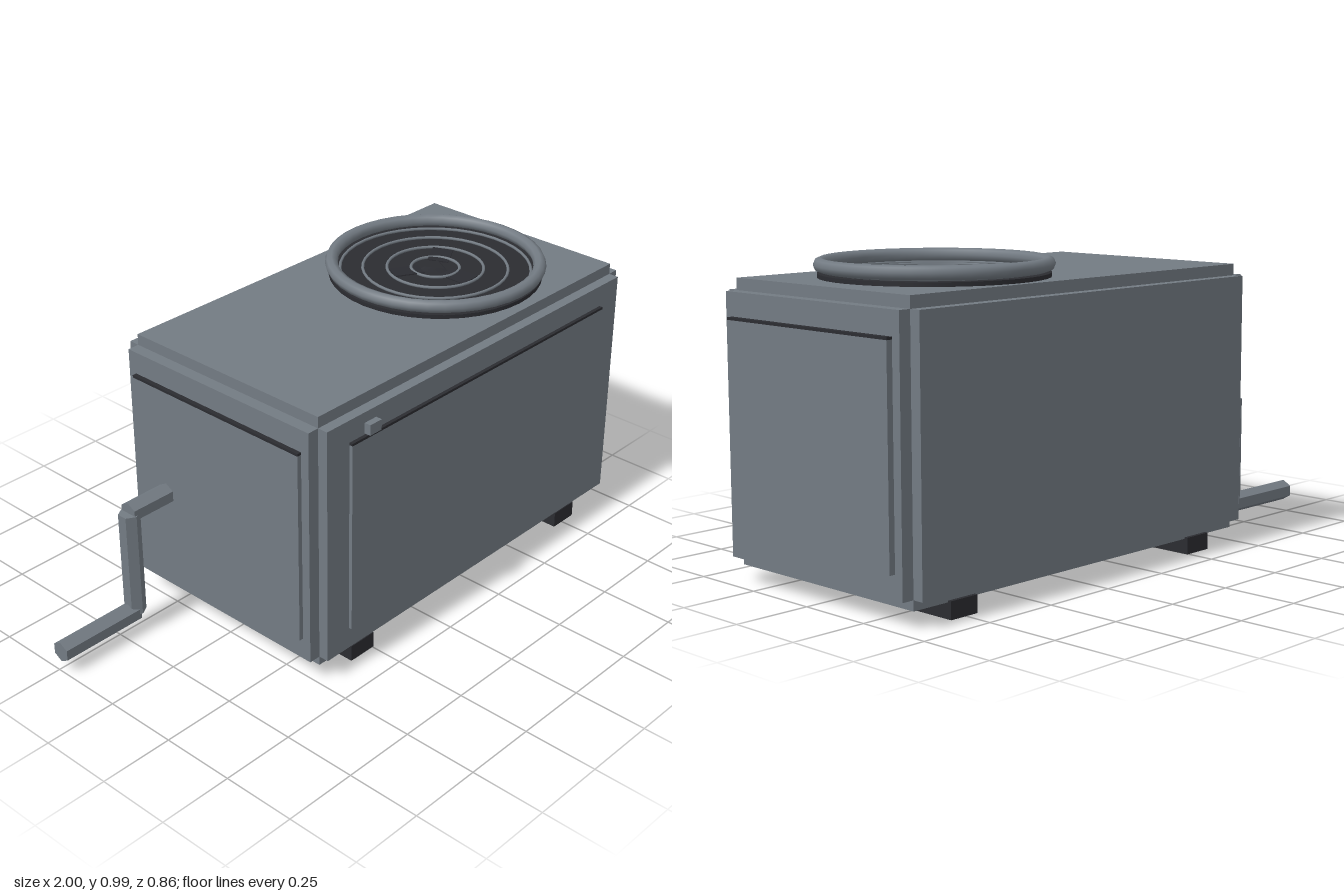
import * as THREE from 'three';

export function createModel() {
  const model = new THREE.Group();
  model.name = 'outdoorCoolingUnit';

  const casing = new THREE.MeshStandardMaterial({ color: 0x737b83 });
  casing.name = 'greyCasing';
  const dark = new THREE.MeshStandardMaterial({ color: 0x2b2c31 });
  dark.name = 'darkTrim';

  function add(name, geometry, material, parent = model) {
    const mesh = new THREE.Mesh(geometry, material);
    mesh.name = name;
    parent.add(mesh);
    return mesh;
  }

  // Box given by its lowest and highest coordinates
  function box(name, x0, x1, y0, y1, z0, z1, material) {
    const mesh = add(name, new THREE.BoxGeometry(x1 - x0, y1 - y0, z1 - z0), material);
    mesh.position.set((x0 + x1) / 2, (y0 + y1) / 2, (z0 + z1) / 2);
    return mesh;
  }

  // Casing: overlapping boxes leave the stepped edges
  box('casingCore', -0.48, 0.94, 0.05, 0.927, -0.393, 0.373, casing);
  box('casingEnds', -0.52, 0.98, 0.082, 0.89, -0.393, 0.373, casing);
  box('casingFrontBack', -0.48, 0.94, 0.082, 0.89, -0.43, 0.408, casing);

  // Raised panels, each with a dark strip along its top
  const panels = [
    ['frontPanel', -0.385, 0.845, 0.4, 0.42],
    ['leftPanel', 0.97, 1, -0.363, 0.343],
    ['rightPanel', -0.535, -0.51, -0.363, 0.343],
  ];
  for (const [name, x0, x1, z0, z1] of panels) {
    box(name, x0, x1, 0.157, 0.808, z0, z1, casing);
    box(name + 'Strip', x0, x1, 0.808, 0.816, z0, z1, dark);
  }
  box('latch', -0.32, -0.27, 0.82, 0.855, 0.4, 0.43, casing);

  // Feet rails
  for (const x of [-0.297, 0.757]) {
    box('footRail', x - 0.052, x + 0.052, 0, 0.055, -0.405, 0.387, dark);
  }

  // Six-sided drain pipe in three straight runs
  const pipe = new THREE.Group();
  pipe.name = 'pipe';
  pipe.position.z = -0.235;
  model.add(pipe);
  function pipeRun(name, length, x, y, horizontal) {
    let geometry = new THREE.CylinderGeometry(0.035, 0.035, length, 6);
    if (horizontal) geometry.rotateY(Math.PI / 2).rotateZ(Math.PI / 2);
    geometry = geometry.toNonIndexed();
    geometry.computeVertexNormals();
    add(name, geometry, casing, pipe).position.set(x, y, 0);
  }
  pipeRun('upperPipe', 0.19, -0.6, 0.442, true);
  pipeRun('downPipe', 0.365, -0.692, 0.258, false);
  pipeRun('lowerPipe', 0.307, -0.8465, 0.075, true);

  // Fan on the top
  const fan = new THREE.Group();
  fan.name = 'fan';
  fan.position.set(0.495, 0, -0.015);
  model.add(fan);
  add('fanBase', new THREE.CylinderGeometry(0.353, 0.353, 0.02, 40), dark, fan).position.y = 0.93;

  function ring(name, radius, tube, y, sides, material) {
    const geometry = new THREE.TorusGeometry(radius, tube, sides, 40).rotateX(Math.PI / 2);
    add(name, geometry, material, fan).position.y = y;
  }
  ring('fanRim', 0.343, 0.0215, 0.9655, 8, casing);
  for (const radius of [0.08, 0.16, 0.24, 0.315]) {
    ring('guardWire', radius, 0.005, 0.944, 6, casing);
  }

  // Three-sided hub and blades
  add('fanHub', new THREE.CylinderGeometry(0.04, 0.065, 0.012, 3), dark, fan).position.y = 0.945;
  for (let i = 0; i < 3; i++) {
    const blade = add('fanBlade', new THREE.BoxGeometry(0.07, 0.004, 0.1), dark, fan);
    const a = (i * Math.PI * 2) / 3;
    blade.position.set(Math.sin(a) * 0.1, 0.943, Math.cos(a) * 0.1);
    blade.rotation.set(0, a, 0.06);
  }

  return model;
}
